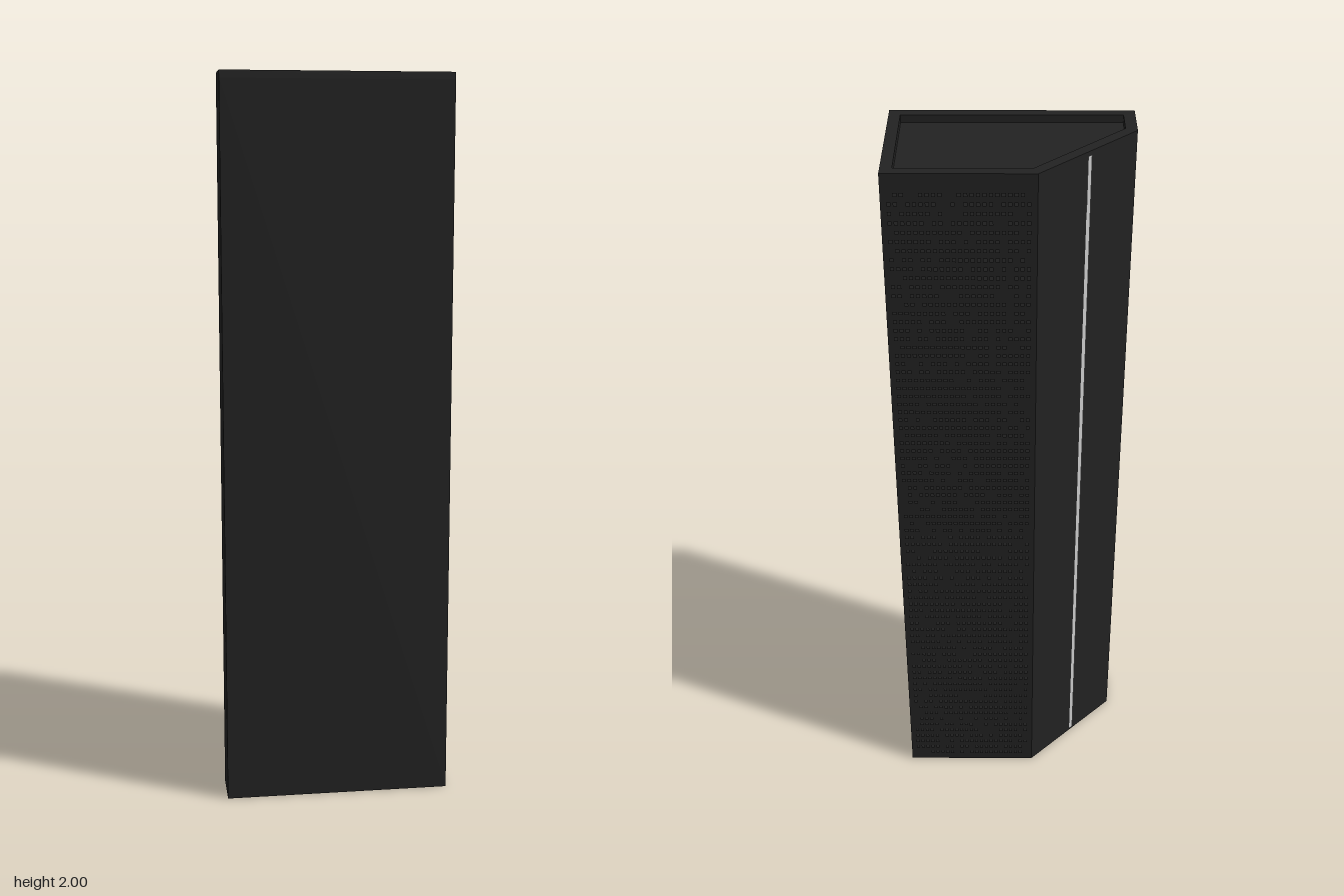
import * as THREE from 'three';
import { mergeGeometries } from 'three/addons/utils/BufferGeometryUtils.js';

const HEIGHT = 2;
const PARAPET = 0.02;
const BACK = -0.185;

// Floor plans as [x, z] corners: a rectangle with one corner cut at 45 degrees
const OUTLINE = [[-0.313, 0.19], [0.313, 0.19], [0.313, BACK], [-0.063, BACK], [-0.313, 0.065]];
const INNER = [[-0.283, 0.16], [0.283, 0.16], [0.283, -0.155], [-0.051, -0.155], [-0.283, 0.077]];

const toPoints = (plan) => plan.map(([x, z]) => new THREE.Vector2(x, -z));

function extrudePlan(plan, hole, y, height) {
  const shape = new THREE.Shape(toPoints(plan));
  if (hole) shape.holes.push(new THREE.Path(toPoints(hole)));
  return new THREE.ExtrudeGeometry(shape, { depth: height, bevelEnabled: false })
    .rotateX(-Math.PI / 2)
    .translate(0, y, 0);
}

function seededRandom(seed) {
  return () => {
    seed = (seed * 16807) % 2147483647;
    return seed / 2147483647;
  };
}

// Rows of small flat panes on the back, with some left out
function windowGrid() {
  const random = seededRandom(41);
  const rows = 78, columns = 23;
  const panes = [];
  for (let r = 0; r < rows; r++) {
    for (let c = 0; c < columns; c++) {
      if (random() < 0.2) continue;
      const x = -0.05 + (0.35 * (c + 0.5)) / columns;
      const y = 0.02 + ((HEIGHT - 0.06) * (r + 0.5)) / rows;
      panes.push(new THREE.PlaneGeometry(0.01, 0.01).rotateY(Math.PI).translate(x, y, BACK - 0.004));
    }
  }
  return mergeGeometries(panes);
}

export function createModel() {
  const group = new THREE.Group();
  const add = (name, geometry, color) => {
    const mesh = new THREE.Mesh(geometry, new THREE.MeshStandardMaterial({ color }));
    mesh.name = name;
    group.add(mesh);
    return mesh;
  };

  // Tower and the raised rim around its roof
  add('tower', extrudePlan(OUTLINE, null, 0, HEIGHT - PARAPET), 0x222222);
  add('parapet', extrudePlan(OUTLINE, INNER, HEIGHT - PARAPET, PARAPET), 0x222222);

  add('backWindows', windowGrid(), 0x2c2c2c);

  // Pale strip down the middle of the cut corner
  const strip = add('lightStrip', new THREE.PlaneGeometry(0.014, HEIGHT - 0.02), 0xcccccc);
  strip.rotation.y = -Math.PI * 0.75;
  strip.position.set(-0.188 - 0.002, HEIGHT / 2, -0.06 - 0.002);

  return group;
}
